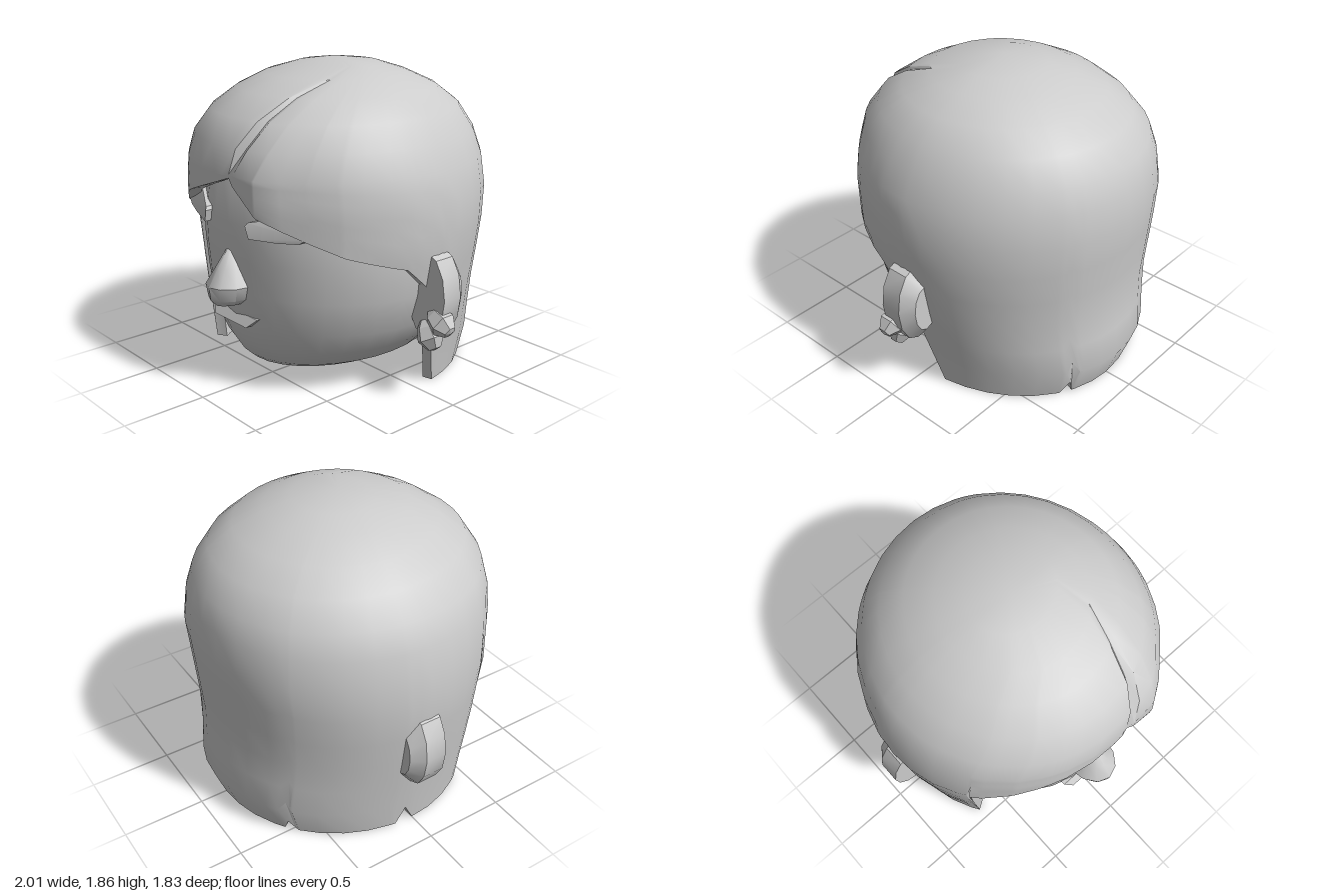
import * as THREE from 'three';
import { toCreasedNormals } from 'three/addons/utils/BufferGeometryUtils.js';

const clay = new THREE.MeshStandardMaterial({ color: 0xcccccc });
clay.name = 'clay grey';

// Piecewise linear lookup in rows sorted by their first entry
function lookup(rows, key, col) {
  let i = 1;
  while (i < rows.length - 1 && rows[i][0] < key) i++;
  const [a, b] = [rows[i - 1], rows[i]];
  const t = Math.min(1, Math.max(0, (key - a[0]) / (b[0] - a[0])));
  return a[col] + (b[col] - a[col]) * t;
}

// Surface from columns of points, each running downward, ordered from -180 to 180 degrees
function grid(columns, crease) {
  const pos = [], index = [], n = columns[0].length;
  columns.forEach((c) => c.forEach((p) => pos.push(...p)));
  for (let i = 0; i < columns.length - 1; i++) {
    for (let j = 0; j < n - 1; j++) {
      const a = i * n + j, d = a + n;
      index.push(a, a + 1, d + 1, a, d + 1, d);
    }
  }
  const g = new THREE.BufferGeometry();
  g.setAttribute('position', new THREE.Float32BufferAttribute(pos, 3));
  g.setIndex(index);
  return toCreasedNormals(g, crease);
}

// Point on a section with separate radii toward +x, -x, +z and -z (columns 1 to 4)
function around(rows, y, deg, scale = 1) {
  const s = Math.sin(deg * Math.PI / 180), c = Math.cos(deg * Math.PI / 180);
  return [s * scale * lookup(rows, y, s > 0 ? 1 : 2), y, c * scale * lookup(rows, y, c > 0 ? 3 : 4)];
}

function loft(rows, sides, crease) {
  const columns = [];
  for (let i = 0; i <= sides; i++) {
    columns.push([...rows].reverse().map((r) => around(rows, r[0], -180 + 360 * i / sides)));
  }
  return grid(columns, crease);
}

// y, radii +x -x +z -z, angle of the parting, depth of the parting
const HAIR = [
  [0, 0.71, 0.81, 0.78, 0.83, 7, 0],
  [0.17, 0.73, 0.83, 0.80, 0.90, 7, 0],
  [0.5, 0.80, 0.88, 0.83, 0.86, 7, 0],
  [0.9, 0.87, 0.93, 0.85, 0.89, 7, 0],
  [1.15, 0.87, 0.91, 0.865, 0.915, 7, 0],
  [1.3, 0.84, 0.88, 0.86, 0.89, 7, 0.01],
  [1.44, 0.78, 0.82, 0.83, 0.85, 13, 0.05],
  [1.58, 0.70, 0.70, 0.74, 0.75, 19, 0.06],
  [1.69, 0.58, 0.56, 0.58, 0.60, 27, 0.05],
  [1.77, 0.42, 0.40, 0.42, 0.42, 45, 0.03],
  [1.82, 0.27, 0.24, 0.20, 0.26, 62, 0],
  [1.855, 0, 0, 0, 0, 62, 0],
];

// Lower edge of the hair: angle, height
const EDGE = [
  [-180, 0], [-145, 0], [-142, 0.08], [-139, 0], [-98, 0], [-94, 0.12], [-90, 0], [-56, 0],
  [-55, 0.87], [-38, 1.0], [-26, 1.1], [7, 1.28], [21, 1.1], [39, 0.98], [52, 0.9], [76, 0.8],
  [86, 0.67], [93, 0.37], [100, 0], [152, 0], [155, 0.1], [158, 0], [180, 0],
];

function hairGeometry() {
  const angles = new Set([4, 10, ...EDGE.map((e) => e[0])]);
  for (let a = -170; a < 180; a += 10) angles.add(a);
  const domeYs = HAIR.map((r) => r[0]).filter((y) => y >= 1.3).reverse();

  const columns = [...angles].sort((a, b) => a - b).map((phi) => {
    const edge = lookup(EDGE, phi, 1);
    const follow = Math.max(0, 1 - Math.abs(phi - 7) / 90);
    const puff = 0.05 * Math.max(0, 1 - Math.abs(phi - 22) / 15);
    const outer = (y) => {
      const groove = phi === 7 ? lookup(HAIR, y, 6) : 0;
      const lift = puff * Math.min(1, Math.max(0, (1.6 - y) / 0.3));
      return around(HAIR, y, phi + (lookup(HAIR, y, 5) - 7) * follow, 1 + lift - groove);
    };
    const lower = [];
    for (let k = 1; k <= 7; k++) lower.push(1.3 + (edge - 1.3) * k / 7);
    const inner = [...lower].reverse().map((y) => around(HAIR, y, phi, 0.915));
    return [...domeYs.map(outer), ...lower.map(outer), ...inner];
  });
  return grid(columns, 0.6);
}

const HEAD = [
  [0.1, 0, 0, 0, 0],
  [0.125, 0.44, 0.44, 0.6, 0.6],
  [0.16, 0.51, 0.51, 0.64, 0.66],
  [0.26, 0.61, 0.61, 0.70, 0.72],
  [0.4, 0.71, 0.71, 0.75, 0.76],
  [0.6, 0.77, 0.77, 0.765, 0.78],
  [0.8, 0.79, 0.79, 0.78, 0.79],
  [1.0, 0.79, 0.79, 0.785, 0.8],
  [1.3, 0.74, 0.74, 0.74, 0.76],
  [1.6, 0.5, 0.5, 0.5, 0.52],
  [1.75, 0, 0, 0, 0],
];

const NOSE = [
  [0.505, 0, 0, 0.05, 0.05],
  [0.52, 0.07, 0.07, 0.15, 0.05],
  [0.56, 0.12, 0.12, 0.19, 0.05],
  [0.64, 0.147, 0.147, 0.2, 0.05],
  [0.74, 0.09, 0.09, 0.135, 0.05],
  [0.83, 0.04, 0.04, 0.075, 0.04],
  [0.85, 0, 0, 0.03, 0.03],
];

// Flat outline extruded along z, each vertex then given a new depth
function plate(points, depthAt) {
  const shape = new THREE.Shape(points.map((p) => new THREE.Vector2(...p)));
  const g = new THREE.ExtrudeGeometry(shape, { depth: 1, bevelEnabled: false });
  const p = g.attributes.position;
  for (let i = 0; i < p.count; i++) p.setZ(i, depthAt(p.getX(i), p.getY(i), p.getZ(i) > 0.5));
  return toCreasedNormals(g, 0.5);
}

function eyeGeometry(side) {
  const outline = [[0.57, 1.0], [0.55, 1.07], [0.47, 1.09], [0.4, 1.085], [0.22, 1.04],
    [0.21, 1.02], [0.23, 0.95], [0.4, 0.955], [0.53, 0.97]];
  const shift = side > 0 ? -0.03 : 0;
  return plate(outline.map(([x, y]) => [side * (x + shift), y]), (x, y, front) => {
    const z = 0.795 - (Math.abs(x) - 0.21) * 0.36;
    return front ? z - Math.max(0, y - 1.03) * 0.8 : z - 0.2;
  });
}

// Ear: a flat-fronted oval disc with a narrowing back
function earGeometry() {
  const front = 0.06, mid = -0.07, back = -0.145;
  const profile = [[0, back], [0.6, back], [1, mid], [1, front], [0, front]];
  const g = new THREE.LatheGeometry(profile.map((p) => new THREE.Vector2(...p)), 12);
  g.rotateX(Math.PI / 2);
  g.scale(0.14, 0.25, 1);
  return toCreasedNormals(g, 0.6);
}

// Faceted earring bead
function crystalGeometry() {
  const profile = [[0, -0.09], [0.04, -0.08], [0.08, -0.02], [0.06, 0.05], [0.025, 0.09], [0, 0.09]];
  const g = new THREE.LatheGeometry(profile.map((p) => new THREE.Vector2(...p)), 6);
  return toCreasedNormals(g, 0.1);
}

export function createModel() {
  const model = new THREE.Group();
  model.name = 'headWithHair';
  const add = (name, geometry, x = 0, y = 0, z = 0) => {
    const mesh = new THREE.Mesh(geometry, clay);
    mesh.name = name;
    mesh.position.set(x, y, z);
    model.add(mesh);
    return mesh;
  };

  add('hair', hairGeometry());
  add('head', loft(HEAD, 32, 0.8));
  add('nose', loft(NOSE, 12, 0.7), -0.015, 0, 0.72);
  add('rightEye', eyeGeometry(-1));
  add('leftEye', eyeGeometry(1));

  // Lower lip: a ledge sloping forward
  add('mouth', plate([[-0.17, 0.405], [0.13, 0.405], [0.19, 0.46], [-0.22, 0.46]],
    (x, y, front) => (front ? (y > 0.45 ? 0.745 : 0.78) : 0.66)));

  add('leftEar', earGeometry(), 0.825, 0.62, 0);
  add('rightEar', earGeometry(), -0.86, 0.62, 0);

  add('upperEarring', crystalGeometry(), 0.92, 0.485, 0.035).rotation.z = 1.05;
  add('lowerEarring', crystalGeometry(), 0.85, 0.39, 0.045).rotation.z = 0.5;
  return model;
}
